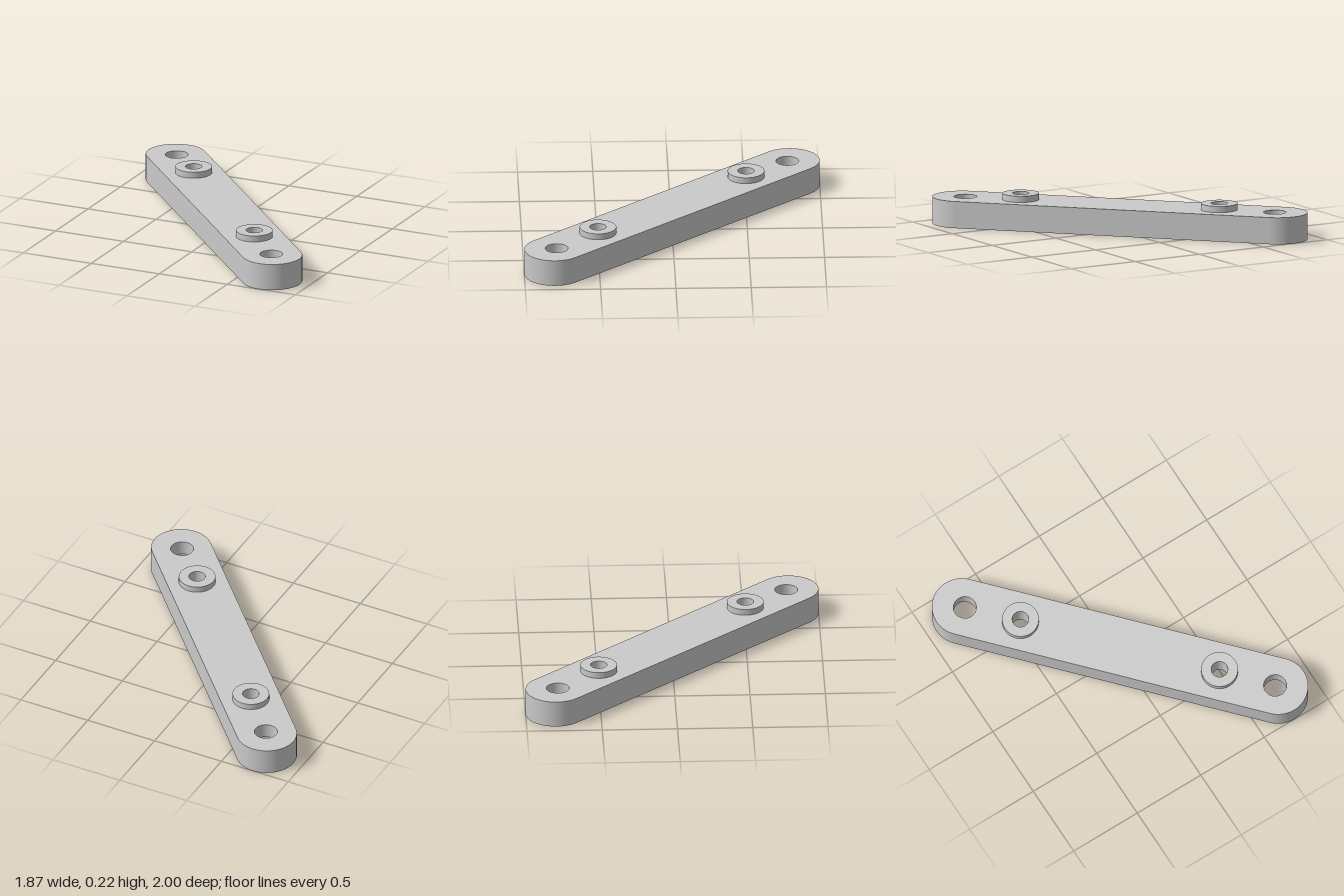
import * as THREE from 'three';
import { mergeGeometries } from 'three/addons/utils/BufferGeometryUtils.js';

const SEG = 48;
const HEIGHT = 0.18;
const END = 1.086;        // distance of the rounded end centres from the middle
const HOLE = 1.066;       // distance of the end holes from the middle
const BOSS = 0.684;       // distance of the bosses from the middle
const HALF_W = 0.2;       // half width of the bar and radius of its ends

const grey = new THREE.MeshStandardMaterial({ color: 0xcacaca });
grey.name = 'grey';

function add(parent, name, geometry) {
  const mesh = new THREE.Mesh(geometry, grey);
  mesh.name = name;
  parent.add(mesh);
  return mesh;
}

// Flat face of the bar, with round openings at mirrored positions
function face(holeRadius, bossRadius) {
  const shape = new THREE.Shape();
  shape.absarc(END, 0, HALF_W, -Math.PI / 2, Math.PI / 2, false);
  shape.absarc(-END, 0, HALF_W, Math.PI / 2, Math.PI * 1.5, false);
  for (const s of [-1, 1]) {
    for (const [d, r] of [[HOLE, holeRadius], [BOSS, bossRadius]]) {
      const hole = new THREE.Path();
      hole.absarc(s * d, 0, r, 0, Math.PI * 2, true);
      shape.holes.push(hole);
    }
  }
  return new THREE.ShapeGeometry(shape, SEG / 2);
}

// Turned profile with a sharp edge at every point
function turned(points) {
  const bands = [];
  for (let i = 0; i < points.length - 1; i++) {
    const pair = [points[i], points[i + 1]].map(([r, y]) => new THREE.Vector2(r, y));
    bands.push(new THREE.LatheGeometry(pair, SEG));
  }
  return mergeGeometries(bands);
}

export function createModel() {
  const model = new THREE.Group();
  model.name = 'linkBar';
  const bar = new THREE.Group();
  bar.name = 'bar';
  bar.rotation.y = -Math.atan2(0.8, 0.735);
  model.add(bar);

  // Top and bottom faces
  add(bar, 'topFace', face(0.076, 0.122).rotateX(-Math.PI / 2)).position.y = HEIGHT;
  add(bar, 'bottomFace', face(0.14, 0.095).rotateX(Math.PI / 2));

  // Stepped end holes, and bosses with a stepped bore
  const endHole = turned([[0.076, HEIGHT], [0.076, 0.08], [0.14, 0.08], [0.14, 0]]);
  const boss = turned([
    [0.122, HEIGHT], [0.122, 0.222], [0.055, 0.222],
    [0.055, 0.065], [0.095, 0.065], [0.095, 0],
  ]);

  for (const s of [-1, 1]) {
    // Rounded end
    const end = new THREE.CylinderGeometry(
      HALF_W, HALF_W, HEIGHT, SEG, 1, true, s > 0 ? 0 : Math.PI, Math.PI);
    add(bar, 'roundedEnd', end).position.set(s * END, HEIGHT / 2, 0);

    // Straight side
    const side = add(bar, 'straightSide', new THREE.PlaneGeometry(2 * END, HEIGHT));
    side.position.set(0, HEIGHT / 2, s * HALF_W);
    side.rotation.y = s > 0 ? 0 : Math.PI;

    add(bar, 'endHole', endHole).position.x = s * HOLE;
    add(bar, 'boss', boss).position.x = s * BOSS;
  }
  return model;
}
